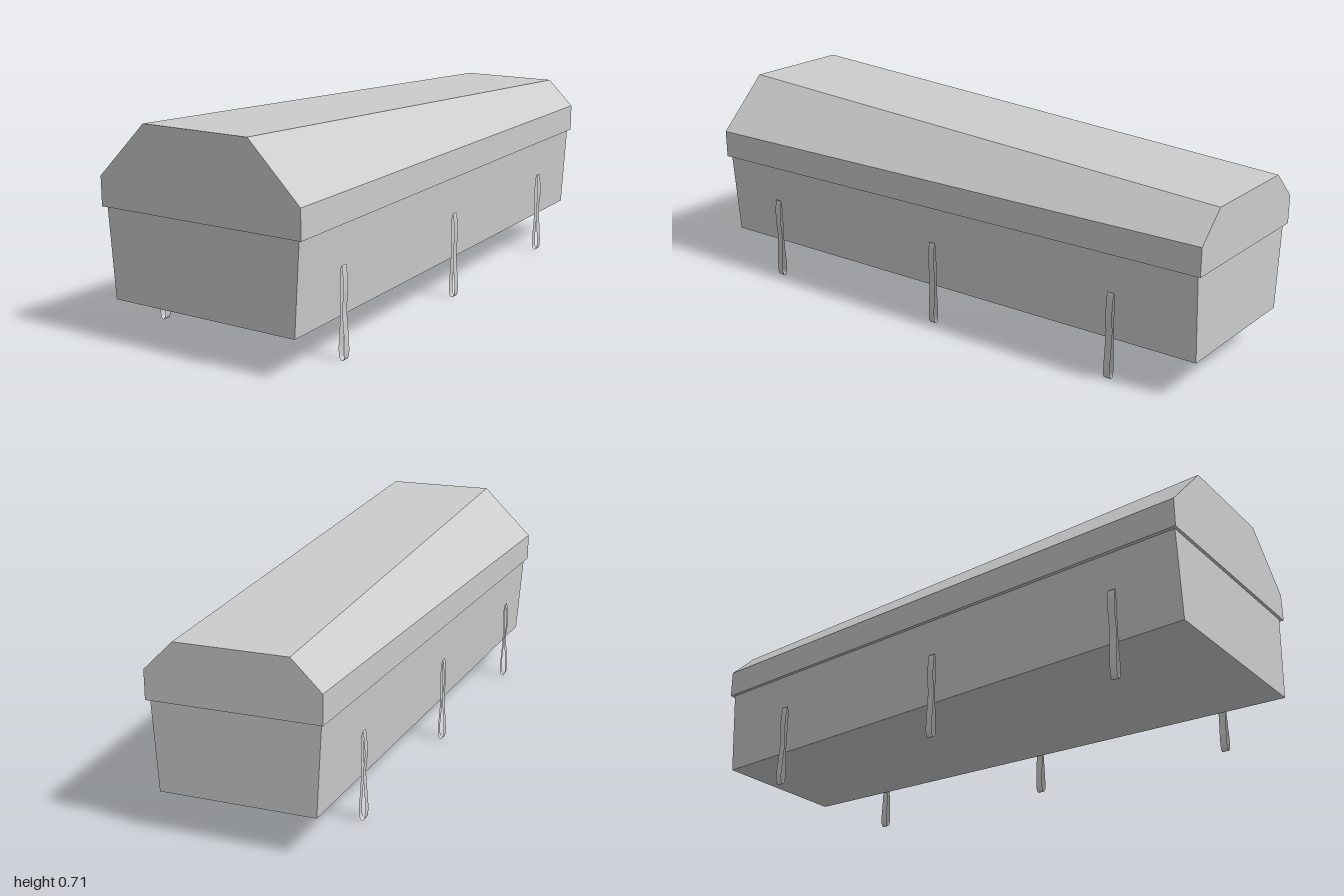
import * as THREE from 'three';
import { ParametricGeometry } from 'three/addons/geometries/ParametricGeometry.js';

const material = new THREE.MeshStandardMaterial({ color: 0xcccccc, flatShading: true });
const strapMaterial = new THREE.MeshStandardMaterial({ color: 0xcccccc, side: THREE.DoubleSide });

// Closed solid between two outlines, each listed counter-clockwise seen from the front
function loft(front, back, zFront, zBack) {
  const f = front.map(([x, y]) => [x, y, zFront]);
  const b = back.map(([x, y]) => [x, y, zBack]);
  const n = f.length, out = [];
  for (let i = 0; i < n; i++) {
    const j = (i + 1) % n;
    out.push(f[i], b[i], b[j], f[i], b[j], f[j]);
  }
  for (let i = 1; i < n - 1; i++) {
    out.push(f[0], f[i], f[i + 1], b[0], b[i + 1], b[i]);
  }
  const geometry = new THREE.BufferGeometry();
  geometry.setAttribute('position', new THREE.Float32BufferAttribute(out.flat(), 3));
  geometry.computeVertexNormals();
  return geometry;
}

// Mirrors the right half of an outline (bottom to top) into a full outline
const mirrored = (half) => [...half, ...half.map(([x, y]) => [-x, y]).reverse()];

// Strap loop outline, x measured from the strap's centre line
const loopPoints = [
  [0, 0], [0.008, 0.008], [0.011, 0.035], [0.007, 0.1], [0.003, 0.165], [0.008, 0.22],
  [0.006, 0.27], [0.001, 0.303], [-0.004, 0.28], [-0.005, 0.22], [-0.004, 0.165],
  [-0.007, 0.1], [-0.011, 0.035], [-0.008, 0.008],
];
const strapWidth = 0.025;

function strapGeometry(side) {
  const curve = new THREE.CatmullRomCurve3(
    loopPoints.map(([x, y]) => new THREE.Vector3(x * side, y, 0)), true);
  return new ParametricGeometry((u, v, target) => {
    curve.getPoint(u, target);
    target.z = (v - 0.5) * strapWidth;
  }, 56, 1);
}

export function createModel() {
  const model = new THREE.Group();
  const add = (name, geometry, mat = material) => {
    const mesh = new THREE.Mesh(geometry, mat);
    mesh.name = name;
    model.add(mesh);
    return mesh;
  };

  // Body: flares upward and narrows to the back
  add('body', loft(
    mirrored([[0.35, 0.133], [0.371, 0.434]]),
    mirrored([[0.26, 0.133], [0.278, 0.434]]), 0.99, -0.987));

  // Overhanging lid with bevelled sides, lower at the back
  add('lid', loft(
    mirrored([[0.385, 0.434], [0.385, 0.532], [0.199, 0.715]]),
    mirrored([[0.288, 0.434], [0.288, 0.532], [0.188, 0.63]]), 1, -1));

  // Three carrying straps on each side, following the taper
  for (const side of [1, -1]) {
    [[0.361, 0.755], [0.327, 0.025], [0.295, -0.69]].forEach(([x, z], i) => {
      const strap = add(`${side > 0 ? 'left' : 'right'}Strap${i + 1}`, strapGeometry(side), strapMaterial);
      strap.position.set(x * side, 0, z);
    });
  }
  return model;
}
